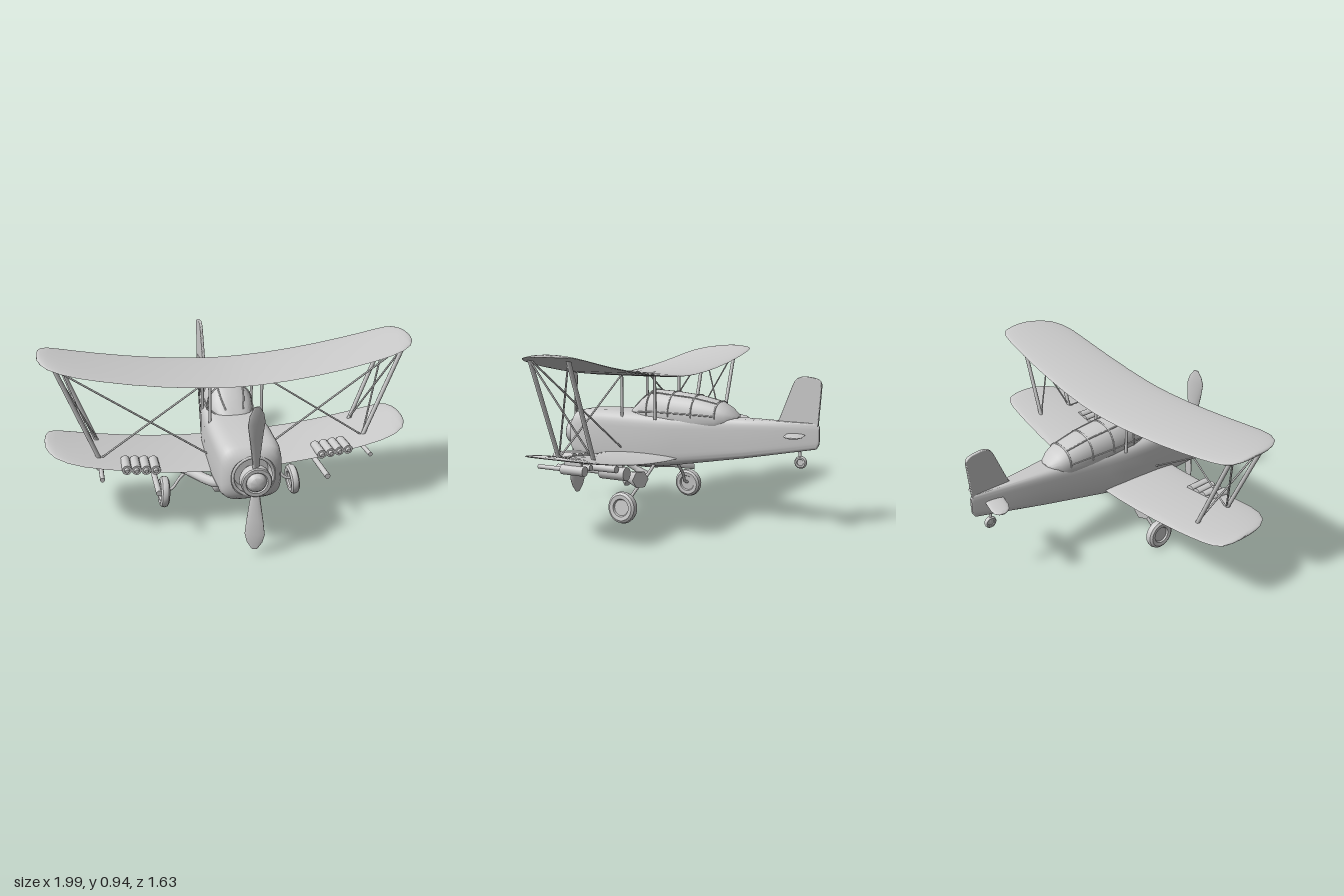
import * as THREE from 'three';
import { toCreasedNormals } from 'three/addons/utils/BufferGeometryUtils.js';

const V = (x, y, z) => new THREE.Vector3(x, y, z);
const material = new THREE.MeshStandardMaterial({ color: 0xcccccc });
const TAU = Math.PI * 2;

// Skin a row of closed rings (right-handed about the direction of travel) and cap both ends
function loft(rings, crease = 0.7) {
  const n = rings[0].length, pos = [], idx = [];
  rings.forEach(r => r.forEach(p => pos.push(p.x, p.y, p.z)));
  for (let i = 0; i < rings.length - 1; i++) {
    for (let j = 0; j < n; j++) {
      const a = i * n + j, b = i * n + (j + 1) % n;
      idx.push(a, b, b + n, a, b + n, a + n);
    }
  }
  [0, rings.length - 1].forEach((k, end) => {
    const c = rings[k].reduce((s, p) => s.add(p), V(0, 0, 0)).divideScalar(n);
    const ci = pos.length / 3;
    pos.push(c.x, c.y, c.z);
    for (let j = 0; j < n; j++) {
      const a = k * n + j, b = k * n + (j + 1) % n;
      if (end) idx.push(ci, a, b); else idx.push(ci, b, a);
    }
  });
  const g = new THREE.BufferGeometry();
  g.setAttribute('position', new THREE.Float32BufferAttribute(pos, 3));
  g.setIndex(idx);
  return toCreasedNormals(g, crease);
}

// Superellipse cross-section in the xy plane
function section([z, w, bottom, top, power], n = 40) {
  const f = v => Math.sign(v) * Math.abs(v) ** (2 / power);
  return Array.from({ length: n }, (_, i) => {
    const t = (i / n) * TAU;
    return V(w * f(Math.cos(t)), (top + bottom) / 2 + (top - bottom) / 2 * f(Math.sin(t)), z);
  });
}

export function createModel() {
  const model = new THREE.Group();
  const add = (name, geometry, parent = model) => {
    const m = new THREE.Mesh(geometry, material);
    m.name = name;
    parent.add(m);
    return m;
  };
  // Straight rod between two points, optionally tapered
  const bar = (name, a, b, r, rEnd = r, sides = 12) => {
    const m = add(name, new THREE.CylinderGeometry(rEnd, r, a.distanceTo(b), sides));
    m.position.copy(a).lerp(b, 0.5);
    m.quaternion.setFromUnitVectors(V(0, 1, 0), b.clone().sub(a).normalize());
    return m;
  };
  const tube = (name, pts, r, sides = 8) =>
    add(name, new THREE.TubeGeometry(new THREE.CatmullRomCurve3(pts), 24, r, sides));

  // Fuselage with rounded cowl and recessed air intake
  add('fuselage', loft([
    [-0.805, 0.008, 0.46, 0.555, 3], [-0.79, 0.012, 0.435, 0.573, 4], [-0.4, 0.072, 0.36, 0.575, 5],
    [0, 0.132, 0.292, 0.577, 5], [0.1, 0.145, 0.277, 0.58, 5], [0.25, 0.156, 0.268, 0.584, 5],
    [0.45, 0.162, 0.267, 0.586, 5], [0.63, 0.16, 0.273, 0.58, 4.5], [0.68, 0.153, 0.284, 0.57, 4],
    [0.707, 0.138, 0.3, 0.55, 3], [0.72, 0.112, 0.32, 0.53, 2.3], [0.71, 0.097, 0.33, 0.52, 2],
    [0.66, 0.09, 0.335, 0.515, 2]].map(s => section(s))));

  // Canopy with ribs and lengthwise frames
  const base = 0.57;
  const canopy = [[-0.345, 0.025, 0.01], [-0.33, 0.055, 0.03], [-0.29, 0.083, 0.062], [-0.24, 0.1, 0.09],
    [-0.1, 0.113, 0.12], [0.04, 0.122, 0.134], [0.18, 0.125, 0.14], [0.24, 0.115, 0.098],
    [0.3, 0.085, 0.04], [0.325, 0.05, 0.01]];
  add('canopy', loft(canopy.map(([z, w, h]) => section([z, w, base - h, base + h, 2.3])), 0.5));
  const arch = ([z, w, h], t) => {
    const f = v => Math.sign(v) * Math.abs(v) ** (2 / 2.3);
    return V(w * f(Math.cos(t)), base + h * f(Math.sin(t)), z);
  };
  for (const s of canopy.slice(3, 7)) {
    tube('canopyRib', Array.from({ length: 17 }, (_, i) => arch(s, i / 16 * Math.PI)), 0.005, 6);
  }
  for (const t of [0.12, 1.05, Math.PI - 1.05, Math.PI - 0.12]) {
    tube('canopyFrame', canopy.slice(3, 9).map(s => arch(s, t)), 0.004, 6);
  }

  // Wings: [x, trailing z, leading z] stations, bowed upward to the tips
  const half = [[0.1, -0.024, 0.46], [0.25, -0.022, 0.459], [0.4, -0.018, 0.456], [0.55, -0.014, 0.451],
    [0.7, -0.009, 0.442], [0.8, -0.005, 0.432], [0.88, 0, 0.408], [0.94, 0.01, 0.365],
    [0.975, 0.035, 0.305], [0.99, 0.08, 0.25], [0.995, 0.13, 0.2]];
  const stations = [...half.map(([x, t, l]) => [-x, t, l]).reverse(), [0, -0.025, 0.46], ...half];
  const wing = (name, y0, rise, power) => add(name, loft(stations.map(([x, te, le]) => {
    const chord = (le - te) / 0.485;
    return Array.from({ length: 28 }, (_, i) => {
      const t = i / 28 * TAU, c = Math.cos(t), s = Math.sin(t);
      return V(x, y0 + rise * Math.abs(x) ** power + 0.012 * (c + 0.6 * c * c) * Math.sqrt(chord),
        (le + te) / 2 + (le - te) / 2 * s);
    });
  }), 1));
  wing('upperWing', 0.795, 0.14, 1.75);
  wing('lowerWing', 0.335, 0.126, 2);

  // Fin and tailplane
  const fin = new THREE.Shape([[0.56, 0.55], [0.585, 0.58], [0.655, 0.76]].map(p => new THREE.Vector2(...p)));
  fin.bezierCurveTo(0.67, 0.8, 0.69, 0.812, 0.73, 0.81);
  fin.bezierCurveTo(0.78, 0.805, 0.81, 0.8, 0.808, 0.765);
  fin.lineTo(0.795, 0.57).lineTo(0.795, 0.46).lineTo(0.7, 0.46);
  const plate = { depth: 0.008, bevelEnabled: true, bevelThickness: 0.005, bevelSize: 0.004, bevelSegments: 3, curveSegments: 10 };
  const finMesh = add('fin', new THREE.ExtrudeGeometry(fin, plate));
  finMesh.rotation.y = Math.PI / 2;
  finMesh.position.x = -0.004;
  add('tailplane', loft([-0.16, -0.152, -0.135, -0.1, 0, 0.1, 0.135, 0.152, 0.16].map(x => {
    const k = Math.abs(x) > 0.1 ? Math.sqrt(1.02 - ((Math.abs(x) - 0.1) / 0.06) ** 2) : 1;
    return Array.from({ length: 16 }, (_, i) => {
      const t = i / 16 * TAU;
      return V(x, 0.508 + 0.008 * Math.cos(t) * Math.sqrt(k), -0.708 + 0.03 * (1 - Math.abs(x) / 0.16) + 0.052 * k * Math.sin(t));
    });
  }), 1));

  // Propeller, hub and spinner
  const prop = new THREE.Group();
  prop.name = 'propeller';
  prop.position.set(0, 0.425, 0.765);
  model.add(prop);
  const hub = [[0, -0.1], [0.035, -0.1], [0.035, -0.03], [0.074, -0.03], [0.077, -0.02], [0.077, 0.022],
    [0.072, 0.028], [0.055, 0.028], [0.05, 0.02], [0.045, 0.03], [0.035, 0.042], [0, 0.052]];
  add('hub', toCreasedNormals(new THREE.LatheGeometry(hub.map(p => new THREE.Vector2(...p)), 24), 0.6), prop)
    .rotation.x = Math.PI / 2;
  const blade = loft([[0.05, 0.02, 0.014, 0.75], [0.12, 0.03, 0.011, 0.65], [0.22, 0.044, 0.008, 0.55],
    [0.3, 0.052, 0.006, 0.4], [0.345, 0.04, 0.005, 0.3], [0.385, 0.014, 0.003, 0.25]].map(([y, w, d, twist]) =>
    Array.from({ length: 14 }, (_, i) => {
      const t = i / 14 * TAU;
      return V(w * Math.sin(t), y, d * Math.cos(t)).applyAxisAngle(V(0, 1, 0), twist);
    })), 0.9);
  for (const a of [0, Math.PI]) add('blade', blade, prop).rotation.z = a;
  add('intakeRing', new THREE.TorusGeometry(0.103, 0.008, 8, 24)).position.set(0, 0.425, 0.717);

  // Wheel with tyre and dished hub, axle along x
  const wheel = (name, r, width, x, y, z, tilt = 0) => {
    const g = new THREE.Group();
    g.name = name;
    g.position.set(x, y, z);
    g.rotation.z = tilt;
    model.add(g);
    const w = width / 2;
    const tyre = [[0, -w * 0.55], [r * 0.5, -w * 0.55], [r * 0.56, -w * 0.9], [r * 0.8, -w], [r * 0.95, -w * 0.65], [r, 0],
      [r * 0.95, w * 0.65], [r * 0.8, w], [r * 0.56, w * 0.9], [r * 0.5, w * 0.55], [0, w * 0.55]];
    add('tyre', toCreasedNormals(new THREE.LatheGeometry(tyre.map(p => new THREE.Vector2(...p)), 24), 0.7), g)
      .rotation.z = Math.PI / 2;
  };
  wheel('tailWheel', 0.034, 0.024, 0, 0.36, -0.706);
  bar('tailWheelLeg', V(0, 0.45, -0.695), V(0, 0.36, -0.706), 0.008);

  for (const s of [1, -1]) {
    const P = (x, y, z) => V(s * x, y, z);
    // Main landing gear
    wheel('mainWheel', 0.088, 0.05, s * 0.375, 0.09, 0.175, s * 0.09);
    tube('gearLeg', [P(0.37, 0.095, 0.175), P(0.33, 0.105, 0.175), P(0.28, 0.16, 0.16), P(0.19, 0.23, 0.14), P(0.1, 0.3, 0.13)], 0.009);

    // Wing struts and bracing wires
    for (const z of [0.33, 0.11]) {
      bar('wingStrut', P(0.72, 0.4, z), P(0.91, 0.915, z + (z > 0.2 ? 0.012 : 0)), 0.0115);
      bar('cabaneStrut', P(0.138, 0.55, z), P(0.138, 0.8, z), 0.0085);
    }
    bar('sideWire', P(0.72, 0.41, 0.33), P(0.91, 0.91, 0.11), 0.005, 0.005, 6);
    bar('sideWire', P(0.72, 0.41, 0.11), P(0.91, 0.91, 0.34), 0.005, 0.005, 6);
    bar('braceWire', P(0.72, 0.405, 0.33), P(0.145, 0.795, 0.33), 0.005, 0.005, 6);
    bar('braceWire', P(0.905, 0.905, 0.33), P(0.14, 0.37, 0.33), 0.005, 0.005, 6);

    // Large exhaust with flared end, and smaller outlet beside it
    tube('exhaustPipe', [P(0.08, 0.285, 0.47), P(0.12, 0.25, 0.42), P(0.17, 0.235, 0.34), P(0.27, 0.235, 0.18)], 0.028, 10);
    bar('exhaustFlare', P(0.245, 0.235, 0.215), P(0.31, 0.24, 0.1), 0.03, 0.05, 6);
    tube('outletPipe', [P(0.05, 0.28, 0.47), P(0.06, 0.245, 0.43), P(0.085, 0.2, 0.36)], 0.018);
    bar('outletFlare', P(0.08, 0.21, 0.375), P(0.1, 0.165, 0.315), 0.019, 0.031, 6);

    // Under-wing gun pods: x, y, pod radius, barrel radius, muzzle z, pod front, pod rear
    for (const [x, y, r, b, muzzle, front, rear] of [
      [0.445, 0.295, 0.037, 0.015, 0.56, 0.26, 0.1], [0.718, 0.35, 0.026, 0.012, 0.465, 0.31, 0.17],
      [0.51, 0.33, 0.02, 0.009, 0.32, 0.28, 0.12], [0.652, 0.357, 0.016, 0.008, 0.36, 0.3, 0.18]]) {
      bar('gunBarrel', P(x, y, front - 0.02), P(x, y, muzzle), b);
      bar('gunPod', P(x, y, rear), P(x, y, front), r, r, 18);
      const wingY = 0.335 + 0.126 * x * x;
      add('podPylon', new THREE.BoxGeometry(r * 0.6, wingY - y, (front - rear) * 0.75))
        .position.set(s * x, (wingY + y) / 2, (front + rear) / 2);
    }

    // Row of rocket tubes under the leading edge
    for (let i = 0; i < 4; i++) {
      const x = 0.445 + i * 0.049, y = 0.372 + i * 0.005;
      bar('rocketTube', P(x, y, 0.33), P(x, y, 0.455), 0.025, 0.025, 14);
      bar('rocketTip', P(x, y, 0.45), P(x, y, 0.468), 0.016, 0.01, 14);
    }
  }
  return model;
}
